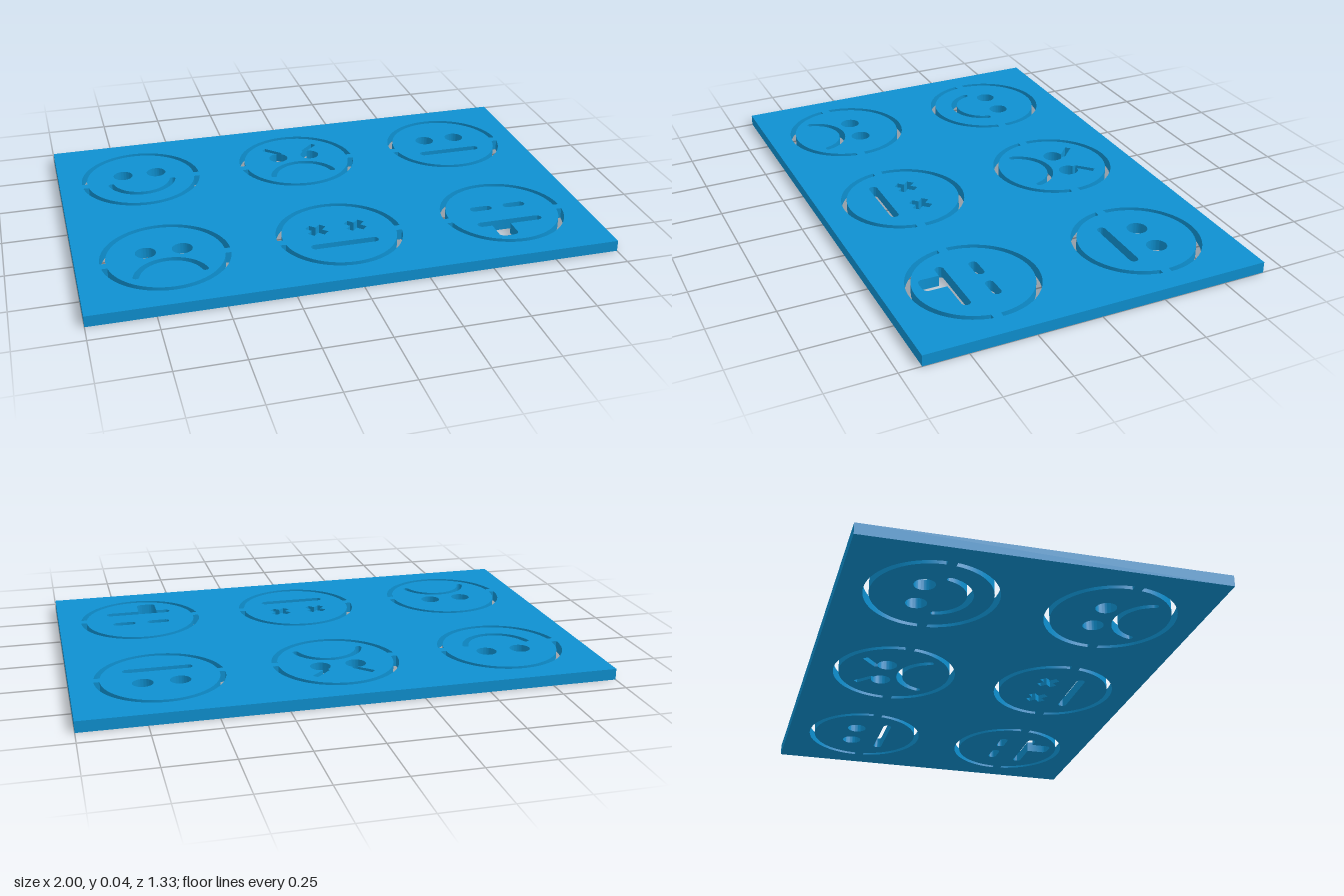
import * as THREE from 'three';
import { toCreasedNormals } from 'three/addons/utils/BufferGeometryUtils.js';

const PI = Math.PI;
const THICK = 0.043;

// Every cutter returns a closed path in face coordinates (x right, y up).
const circle = (x, y, r) => new THREE.Path().absarc(x, y, r, 0, 2 * PI, false);

// Half of the head outline, its ends cut level at height y
function headArc(y, side) {
  const outer = 0.243, inner = 0.221;
  const a = Math.asin(y / outer), b = Math.asin(y / inner);
  const p = new THREE.Path();
  if (side > 0) {
    p.absarc(0, 0, outer, a, PI - a, false);
    p.absarc(0, 0, inner, PI - b, b, true);
  } else {
    p.absarc(0, 0, outer, a, -PI - a, true);
    p.absarc(0, 0, inner, -PI - b, b, false);
  }
  p.closePath();
  return p;
}

// Curved mouth with rounded ends; side +1 arches up, -1 hangs down
function mouthArc(y, side) {
  const r = 0.13, w = 0.012, t = 0.24;
  const a = side > 0 ? t : PI + t, b = a + PI - 2 * t;
  const p = new THREE.Path();
  p.absarc(0, y, r + w, a, b, false);
  p.absarc(r * Math.cos(b), y + r * Math.sin(b), w, b, b + PI, false);
  p.absarc(0, y, r - w, b, a, true);
  p.absarc(r * Math.cos(a), y + r * Math.sin(a), w, a + PI, a + 2 * PI, false);
  return p;
}

// Straight slot with rounded ends, optionally with a tongue hanging from it
function slot(x, y, half, tongue) {
  const r = 0.017, e = half - r;
  const p = new THREE.Path();
  p.absarc(x + e, y, r, PI / 2, -PI / 2, true);
  if (tongue) {
    const { left, right, bottom } = tongue, c = 0.022;
    p.lineTo(right, y - r);
    p.lineTo(right, bottom + c * 0.7);
    p.quadraticCurveTo(right - 0.005, bottom, right - c - 0.008, bottom);
    p.lineTo(left + c + 0.008, bottom);
    p.quadraticCurveTo(left + 0.005, bottom, left, bottom + c * 0.7);
    p.lineTo(left, y - r);
  }
  p.absarc(x - e, y, r, -PI / 2, -1.5 * PI, true);
  p.closePath();
  return p;
}

// Diagonal cross
function cross(x, y) {
  const L = 0.043, w = 0.0145, pts = [];
  for (let i = 0; i < 4; i++) {
    const a = PI / 4 + i * PI / 2, c = Math.cos(a), s = Math.sin(a);
    for (const [u, v] of [[L, -w], [L, w], [w, w]]) {
      pts.push(new THREE.Vector2(x + u * c - v * s, y + u * s + v * c));
    }
  }
  return new THREE.Path(pts);
}

// Round eye joined to a slanted brow, mirrored by side
function angryEye(side) {
  const pts = [], x = 0.069, y = 0.041, r = 0.039;
  const from = 0.69 * PI, to = 0.51 * PI + 2 * PI;
  for (let i = 0; i <= 40; i++) {
    const a = from + (to - from) * i / 40;
    pts.push([x + r * Math.cos(a), y + r * Math.sin(a)]);
  }
  pts.push([0.12, 0.128], [0.104, 0.145], [0.045, 0.087]);
  return new THREE.Path(pts.map(([u, v]) => new THREE.Vector2(side * u, v)));
}

const roundEyes = (y) => [circle(-0.069, y, 0.039), circle(0.069, y, 0.039)];

// Cut-outs of the six faces, back row first
const faces = [
  [...roundEyes(0.041), mouthArc(-0.006, -1)],
  [angryEye(-1), angryEye(1), mouthArc(-0.154, 1)],
  [...roundEyes(0.046), slot(0, -0.081, 0.132)],
  [...roundEyes(0.041), mouthArc(-0.156, 1)],
  [cross(-0.077, 0.044), cross(0.077, 0.044), slot(0, -0.081, 0.132)],
  [slot(-0.07, 0.044, 0.045), slot(0.07, 0.044, 0.045),
    slot(0, -0.081, 0.132, { left: -0.079, right: -0.003, bottom: -0.185 })],
];

export function createModel() {
  const group = new THREE.Group();
  group.name = 'faceStencil';

  // Rectangular plate outline
  const plate = new THREE.Shape([[-1, -0.667], [1, -0.667], [1, 0.667], [-1, 0.667]]
    .map(([x, y]) => new THREE.Vector2(x, y)));

  // Place each face on the 3 x 2 grid and cut it through
  faces.forEach((cuts, i) => {
    const cx = (i % 3 - 1) * 0.667, cy = i < 3 ? 0.333 : -0.333;
    for (const cut of [headArc(0, 1), headArc(-0.035, -1), ...cuts]) {
      const pts = cut.getPoints(32).map((p) => new THREE.Vector2(p.x + cx, p.y + cy));
      // drop repeated points
      const clean = pts.filter((p, k) => p.distanceTo(pts[(k + 1) % pts.length]) > 1e-5);
      plate.holes.push(new THREE.Path(clean));
    }
  });

  const geometry = new THREE.ExtrudeGeometry(plate, { depth: THICK, bevelEnabled: false });
  geometry.rotateX(-PI / 2);
  const mesh = new THREE.Mesh(toCreasedNormals(geometry, 0.5),
    new THREE.MeshStandardMaterial({ color: 0x0e90d0 }));
  mesh.name = 'stencilPlate';
  group.add(mesh);
  return group;
}
